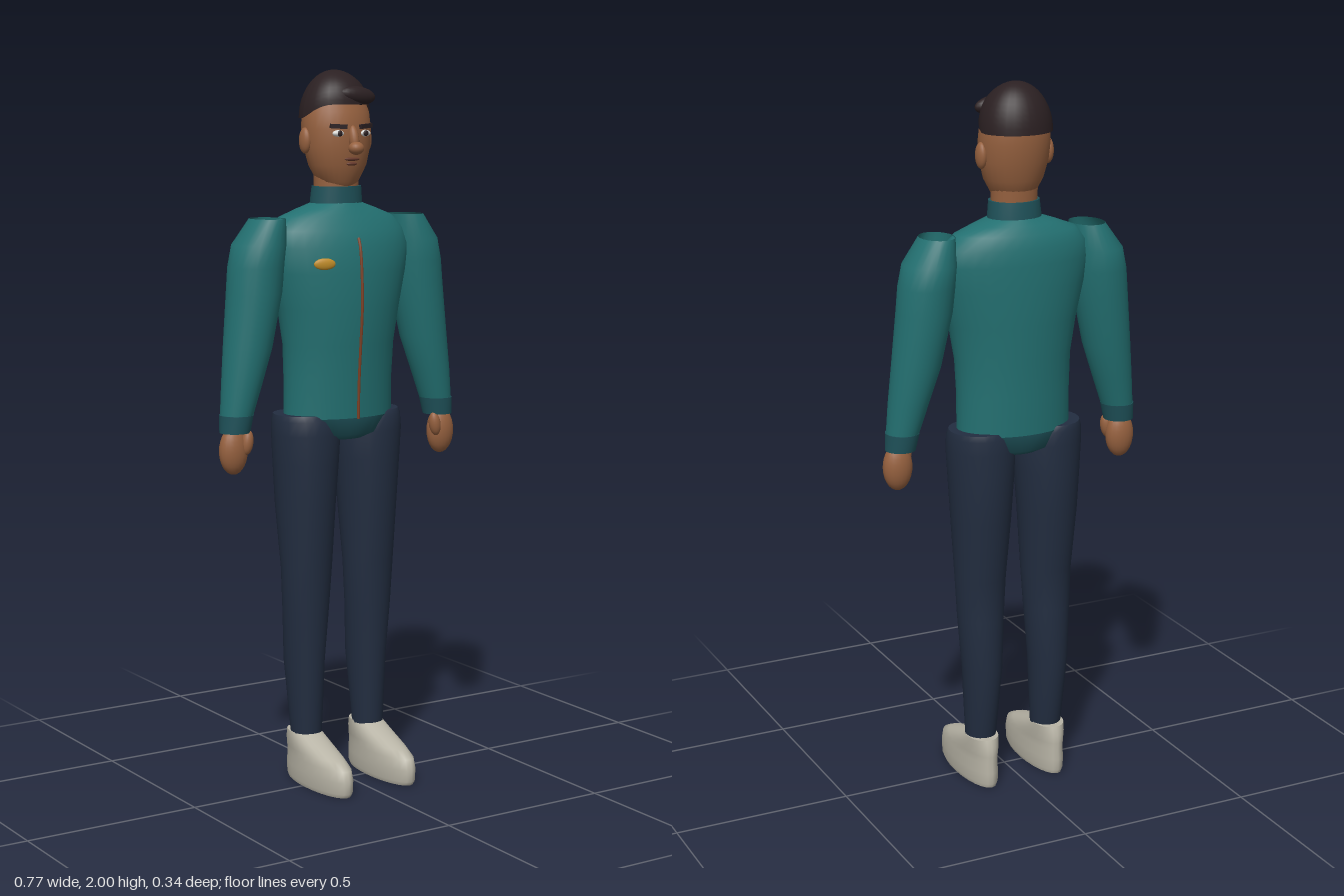
import * as THREE from 'three';

const mat = (name, color, double = false) => {
  const m = new THREE.MeshStandardMaterial({ color });
  m.name = name;
  if (double) m.side = THREE.DoubleSide;
  return m;
};

// Skin through elliptical rings [y, cx, cz, rx, rz], listed from bottom to top
function loft(rings, capBottom = true, capTop = true, seg = 24) {
  const list = rings.slice();
  if (capBottom) {
    const [y, cx, cz] = rings[0];
    list.unshift([y, cx, cz, 0, 0], rings[0]);
  }
  if (capTop) {
    const last = rings[rings.length - 1];
    list.push(last, [last[0], last[1], last[2], 0, 0]);
  }
  const pos = [], idx = [];
  list.forEach(([y, cx, cz, rx, rz], i) => {
    for (let j = 0; j < seg; j++) {
      const a = (j / seg) * Math.PI * 2;
      pos.push(cx + rx * Math.cos(a), y, cz + rz * Math.sin(a));
      if (i === list.length - 1) continue;
      const p = i * seg + j, q = i * seg + ((j + 1) % seg);
      idx.push(p, p + seg, q, q, p + seg, q + seg);
    }
  });
  const g = new THREE.BufferGeometry();
  g.setAttribute('position', new THREE.Float32BufferAttribute(pos, 3));
  g.setIndex(idx);
  g.computeVertexNormals();
  return g;
}

export function createModel() {
  const model = new THREE.Group();
  const M = {
    jacket: mat('jacket teal', 0x237071, true),
    trim: mat('trim dark teal', 0x1f525a, true),
    trousers: mat('trousers navy', 0x222d40),
    shoe: mat('shoe off-white', 0xb8b4a6),
    skin: mat('skin brown', 0x96613f),
    hair: mat('hair dark', 0x2b2022, true),
    gold: mat('badge gold', 0xc08c28),
    zip: mat('zip russet', 0x7e4226),
    white: mat('eye white', 0xd9d9d6),
    lip: mat('lip brown', 0x66392c),
  };
  const add = (name, geo, m, parent = model) => {
    const mesh = new THREE.Mesh(geo, m);
    mesh.name = name;
    parent.add(mesh);
    return mesh;
  };
  const ball = (name, m, p, r) => {
    const mesh = add(name, new THREE.SphereGeometry(1, 20, 14), m);
    mesh.position.set(...p);
    mesh.scale.set(...r);
    return mesh;
  };

  // Jacket body, hem and collar
  const torso = [
    [1.045, 0, -0.053, 0.166, 0.106], [1.15, 0, -0.052, 0.165, 0.109],
    [1.25, 0, -0.049, 0.169, 0.114], [1.35, 0, -0.048, 0.186, 0.121],
    [1.45, 0, -0.05, 0.21, 0.121], [1.52, 0, -0.053, 0.222, 0.116],
    [1.565, 0, -0.06, 0.211, 0.106], [1.6, 0, -0.063, 0.178, 0.09],
    [1.622, 0, -0.062, 0.12, 0.075], [1.638, 0, -0.06, 0.072, 0.062],
  ];
  add('jacketBody', loft(torso, true, true, 32), M.jacket);
  add('jacketHem', loft([
    [0.983, 0, -0.053, 0.08, 0.07], [1.0, 0, -0.053, 0.125, 0.1], [1.047, 0, -0.053, 0.167, 0.107],
  ], true, false, 32), M.trim);
  add('collar', loft([
    [1.615, 0, -0.06, 0.076, 0.064], [1.645, 0, -0.06, 0.076, 0.062], [1.683, 0, -0.058, 0.072, 0.06],
  ]), M.trim);

  // Zip follows the front of the jacket
  const front = torso.slice(0, 6).map(([y, , cz, , rz]) => new THREE.Vector3(0, y, cz + rz + 0.001));
  front.push(new THREE.Vector3(0, 1.545, 0.055));
  add('zip', new THREE.TubeGeometry(new THREE.CatmullRomCurve3(front), 24, 0.0045, 6), M.zip);
  ball('badge', M.gold, [-0.11, 1.478, 0.056], [0.031, 0.016, 0.007]).rotation.y = -0.25;

  for (const s of [1, -1]) {
    const side = s > 0 ? 'left' : 'right';
    const limb = (name, m, rings, a, b) =>
      add(side + name, loft(rings.map(([y, cx, ...r]) => [y, s * cx, ...r]), a, b), m);

    // Arm: sleeve open at the shoulder, cuff, hand and thumb
    limb('Sleeve', M.jacket, [
      [1.06, 0.332, -0.047, 0.044, 0.046], [1.15, 0.313, -0.049, 0.056, 0.056],
      [1.25, 0.291, -0.053, 0.068, 0.067], [1.4, 0.267, -0.057, 0.077, 0.077],
      [1.47, 0.26, -0.058, 0.077, 0.081], [1.53, 0.25, -0.058, 0.073, 0.083],
      [1.6, 0.226, -0.052, 0.047, 0.061],
    ], false, false);
    limb('Cuff', M.trim, [[1.022, 0.337, -0.046, 0.042, 0.043], [1.07, 0.331, -0.047, 0.047, 0.049]], true, true);
    ball(side + 'Hand', M.skin, [s * 0.344, 0.972, -0.042], [0.042, 0.066, 0.032]);
    ball(side + 'Thumb', M.skin, [s * 0.312, 0.995, -0.022], [0.017, 0.035, 0.017]).rotation.z = s * 0.15;

    // Trouser leg
    limb('Leg', M.trousers, [
      [0.13, 0.104, -0.056, 0.043, 0.046], [0.35, 0.104, -0.067, 0.056, 0.066],
      [0.5, 0.104, -0.058, 0.066, 0.066], [0.62, 0.103, -0.055, 0.073, 0.07],
      [0.8, 0.103, -0.06, 0.084, 0.09], [0.92, 0.102, -0.059, 0.092, 0.096],
      [1.0, 0.102, -0.058, 0.097, 0.097], [1.04, 0.106, -0.06, 0.091, 0.094],
      [1.056, 0.112, -0.062, 0.08, 0.085],
    ], true, true);

    // Shoe with a sloping toe
    limb('Shoe', M.shoe, [
      [0, 0.105, 0.014, 0.047, 0.148], [0.012, 0.105, 0.016, 0.051, 0.155],
      [0.045, 0.105, 0.016, 0.052, 0.156], [0.075, 0.105, 0.013, 0.05, 0.15],
      [0.095, 0.105, -0.008, 0.049, 0.13], [0.12, 0.105, -0.042, 0.048, 0.093],
      [0.143, 0.105, -0.068, 0.044, 0.057],
    ], true, true);

    // Ear, eye and brow
    ball(side + 'Ear', M.skin, [s * 0.099, 1.808, -0.062], [0.015, 0.036, 0.022]);
    ball(side + 'Eye', M.white, [s * 0.043, 1.828, 0.019], [0.018, 0.009, 0.01]);
    ball(side + 'Pupil', M.hair, [s * 0.042, 1.828, 0.027], [0.008, 0.008, 0.004]);
    const brow = add(side + 'Brow', new THREE.BoxGeometry(0.048, 0.012, 0.009), M.hair);
    brow.position.set(s * 0.044, 1.847, 0.023);
    brow.rotation.set(0, s * 0.35, s * 0.06);
  }

  // Head and neck
  add('neck', loft([[1.64, 0, -0.058, 0.064, 0.053], [1.73, 0, -0.06, 0.066, 0.056]]), M.skin);
  add('head', loft([
    [1.677, 0, -0.045, 0.03, 0.035], [1.695, 0, -0.052, 0.058, 0.056],
    [1.74, 0, -0.053, 0.083, 0.073], [1.79, 0, -0.056, 0.096, 0.083],
    [1.84, 0, -0.059, 0.1, 0.087], [1.885, 0, -0.063, 0.097, 0.083],
    [1.93, 0, -0.068, 0.082, 0.07], [1.965, 0, -0.07, 0.05, 0.045],
  ], true, true, 28), M.skin);

  // Nose and mouth
  ball('noseBridge', M.skin, [0, 1.815, 0.03], [0.014, 0.036, 0.016]).rotation.x = -0.25;
  ball('noseTip', M.skin, [0, 1.788, 0.043], [0.022, 0.018, 0.021]);
  ball('upperLip', M.lip, [0, 1.758, 0.022], [0.024, 0.005, 0.006]);
  ball('lowerLip', M.lip, [0, 1.745, 0.02], [0.017, 0.005, 0.006]);

  // Hair: a dome whose lower edge rises towards the forehead, plus a quiff
  const dome = new THREE.SphereGeometry(1, 28, 12, 0, Math.PI * 2, 0, Math.PI / 2);
  const p = dome.attributes.position;
  for (let i = 0; i < p.count; i++) {
    const x = p.getX(i), y = p.getY(i), z = p.getZ(i);
    const edge = 1.868 + 0.038 * THREE.MathUtils.smoothstep(z, -0.1, 0.9);
    p.setXYZ(i, x * 0.101, edge + y * (2 - edge), -0.069 + z * 0.09);
  }
  dome.computeVertexNormals();
  add('hair', dome, M.hair);
  ball('quiff', M.hair, [0.028, 1.93, 0.004], [0.058, 0.025, 0.022]).rotation.z = -0.12;

  return model;
}
